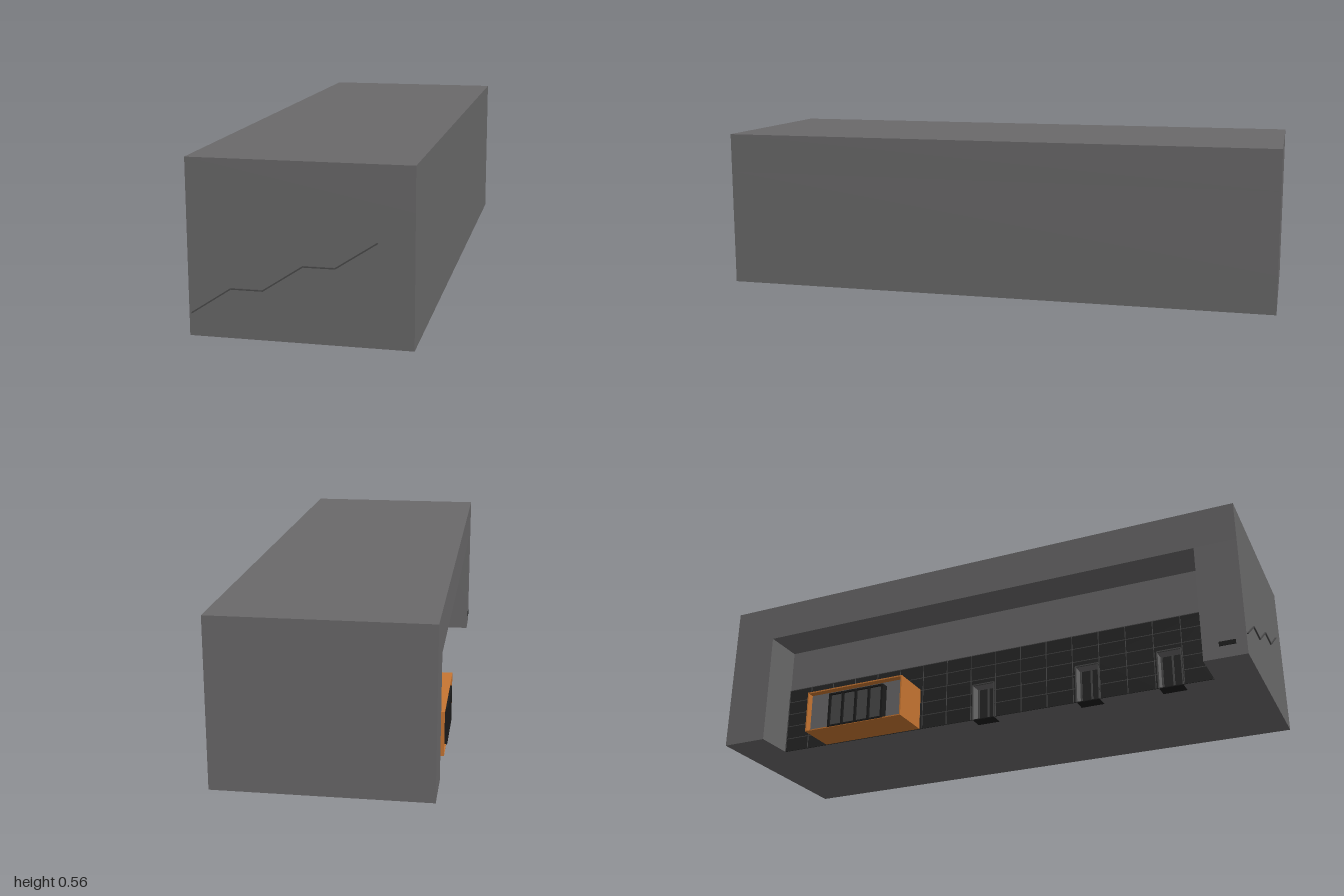
import * as THREE from 'three';

const mat = (color) => new THREE.MeshStandardMaterial({ color });

export function createModel() {
  const model = new THREE.Group();
  const wall = mat(0x6a696a), glass = mat(0x262626), frame = mat(0x4a4a4a);
  const orange = mat(0xc87632), black = mat(0x1c1c1c);

  const add = (parent, name, geometry, material) => {
    const mesh = new THREE.Mesh(geometry, material);
    mesh.name = name;
    parent.add(mesh);
    return mesh;
  };
  // Box given by its limits on each axis
  const box = (parent, name, material, x0, x1, y0, y1, z0, z1) => {
    const g = new THREE.BoxGeometry(x1 - x0, y1 - y0, z1 - z0);
    g.translate((x0 + x1) / 2, (y0 + y1) / 2, (z0 + z1) / 2);
    return add(parent, name, g, material);
  };
  const group = (name) => {
    const g = new THREE.Group();
    g.name = name;
    model.add(g);
    return g;
  };

  const X0 = -0.35, X1 = 0.352, Z0 = -1, Z1 = 0.995;
  const recessX = -0.2, recessZ0 = -0.83, recessZ1 = 0.85, recessTop = 0.42;
  const glassTop = 0.255, doorTop = 0.135, doorHalf = 0.042, nicheX = -0.15;
  const doors = [0.01, 0.408, 0.703];

  // Building body: stacked floor plans (door niches, recess, full block)
  const body = group('building');
  const layer = (name, y0, y1, notch) => {
    const plan = [[X0, Z0], [X1, Z0], [X1, Z1], [X0, Z1], ...notch];
    const shape = new THREE.Shape(plan.map(([x, z]) => new THREE.Vector2(x, -z)));
    const g = new THREE.ExtrudeGeometry(shape, { depth: y1 - y0, bevelEnabled: false });
    g.rotateX(-Math.PI / 2).translate(0, y0, 0);
    add(body, name, g, wall);
  };
  const niches = [...doors].reverse().flatMap((z) => [
    [recessX, z + doorHalf], [nicheX, z + doorHalf],
    [nicheX, z - doorHalf], [recessX, z - doorHalf],
  ]);
  const start = [[X0, recessZ1], [recessX, recessZ1]];
  const end = [[recessX, recessZ0], [X0, recessZ0]];
  layer('lowerWalls', 0, doorTop, [...start, ...niches, ...end]);
  layer('recessWalls', doorTop, recessTop, [...start, ...end]);
  layer('upperBlock', recessTop, 0.56, []);

  // Glazed wall at the back of the recess, cut out around the doors
  const glazing = group('glazedWall');
  const outline = [[recessZ0, 0]];
  doors.forEach((z) => outline.push(
    [z - doorHalf, 0], [z - doorHalf, doorTop], [z + doorHalf, doorTop], [z + doorHalf, 0]));
  outline.push([recessZ1, 0], [recessZ1, glassTop], [recessZ0, glassTop]);
  const pane = new THREE.ExtrudeGeometry(
    new THREE.Shape(outline.map(([z, y]) => new THREE.Vector2(z, y))),
    { depth: 0.003, bevelEnabled: false });
  pane.rotateY(-Math.PI / 2).translate(recessX, 0, 0);
  add(glazing, 'glass', pane, glass);

  // Mullion grid, interrupted at the doors
  const bar = 0.0012, barX = recessX - 0.005;
  const columns = 17, rows = 5;
  for (let i = 0; i <= columns; i++) {
    const z = THREE.MathUtils.lerp(recessZ0 + bar, recessZ1 - bar, i / columns);
    const overDoor = doors.some((d) => Math.abs(d - z) < doorHalf + bar);
    box(glazing, 'mullion', frame, barX, recessX, overDoor ? doorTop : 0, glassTop, z - bar, z + bar);
  }
  for (let j = 1; j <= rows; j++) {
    const y = (glassTop * j) / rows;
    const cuts = y < doorTop ? doors.flatMap((d) => [d - doorHalf, d + doorHalf]) : [];
    const stops = [recessZ0, ...cuts, recessZ1];
    for (let k = 0; k < stops.length; k += 2) {
      box(glazing, 'transom', frame, barX, recessX, y - bar, y + bar, stops[k], stops[k + 1]);
    }
  }

  // Recessed entrance doors
  doors.forEach((z) => {
    const door = group('entranceDoor');
    const a = z - doorHalf, b = z + doorHalf;
    box(door, 'doorFloor', black, recessX, nicheX, 0, 0.003, a, b);
    box(door, 'doorGlass', glass, nicheX - 0.004, nicheX, 0.003, doorTop, a, b);
    for (const s of [a + 0.003, z, b - 0.003]) {
      box(door, 'doorStile', frame, nicheX - 0.008, nicheX, 0.003, doorTop, s - 0.003, s + 0.003);
    }
    for (const s of [a, b]) {
      box(door, 'doorTrim', frame, recessX - 0.006, recessX, 0, doorTop, s - 0.002, s + 0.002);
    }
    box(door, 'doorHead', frame, recessX - 0.006, recessX, doorTop - 0.002, doorTop + 0.002, a, b);
  });

  // Orange entrance pavilion: open-fronted shell with a set-back front wall
  const pavilion = group('entrancePavilion');
  const pz0 = -0.645, pz1 = -0.247, py1 = 0.157, t = 0.005, frontX = -0.325;
  box(pavilion, 'pavilionRoof', orange, X0, recessX, py1 - t, py1, pz0, pz1);
  box(pavilion, 'pavilionFloor', orange, X0, recessX, 0.001, t, pz0, pz1);
  box(pavilion, 'pavilionSide', orange, X0, recessX, t, py1 - t, pz0, pz0 + t);
  box(pavilion, 'pavilionSide', orange, X0, recessX, t, py1 - t, pz1 - t, pz1);
  box(pavilion, 'pavilionFront', wall, frontX, recessX, t, py1 - t, pz0 + t, pz1 - t);

  // Row of framed doors standing out from the pavilion front
  const dz0 = -0.545, dz1 = -0.325, leaves = 4, step = (dz1 - dz0) / leaves;
  for (let i = 0; i < leaves; i++) {
    const z = dz0 + i * step;
    box(pavilion, 'pavilionDoor', frame, X0 + 0.004, frontX, 0.006, 0.13, z + 0.004, z + step - 0.004);
  }
  for (let i = 0; i <= leaves; i++) {
    const z = dz0 + i * step;
    box(pavilion, 'pavilionDoorPost', black, -0.354, frontX, 0.003, 0.135, z - 0.004, z + 0.004);
  }
  for (const y of [0.003, 0.129]) {
    box(pavilion, 'pavilionDoorRail', black, -0.354, frontX, y, y + 0.006, dz0, dz1);
  }

  // Small slotted plate on the pillar
  box(model, 'wallPlate', black, X0 - 0.003, X0, 0.042, 0.057, 0.905, 0.96);

  // Stepped handrail on the front wall
  const rail = group('handrail');
  const path = [[-0.341, 0.074], [-0.214, 0.158], [-0.113, 0.158],
    [0.013, 0.241], [0.112, 0.241], [0.24, 0.325]];
  for (let i = 0; i + 1 < path.length; i++) {
    const [ax, ay] = path[i], [bx, by] = path[i + 1];
    const length = Math.hypot(bx - ax, by - ay);
    const m = add(rail, 'railSegment', new THREE.BoxGeometry(length + 0.002, 0.004, 0.005), frame);
    m.position.set((ax + bx) / 2, (ay + by) / 2, Z1 + 0.0025);
    m.rotation.z = Math.atan2(by - ay, bx - ax);
  }

  return model;
}
